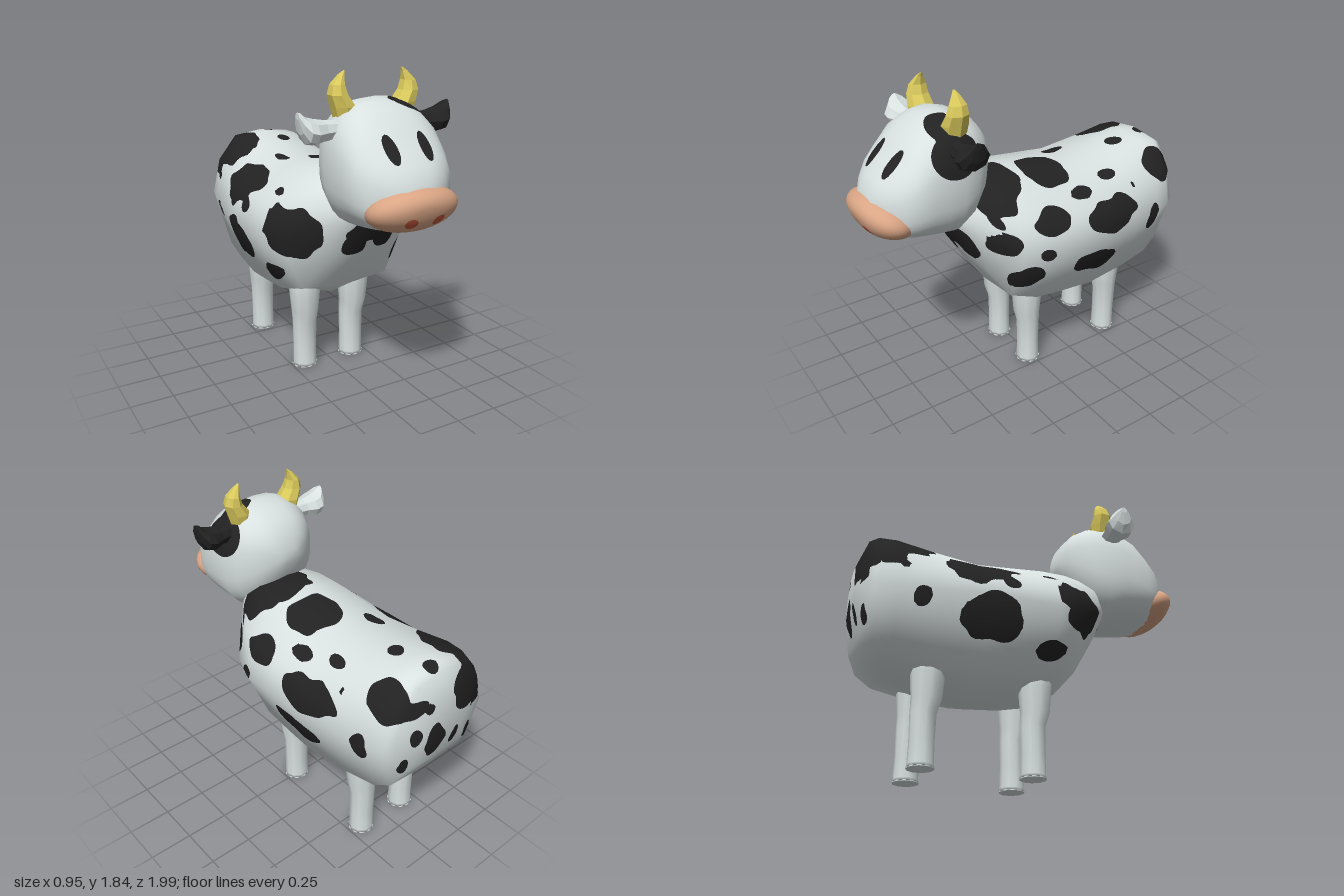
import * as THREE from 'three';

const V = (x, y, z) => new THREE.Vector3(x, y, z);
const mat = (name, color) => {
  const m = new THREE.MeshStandardMaterial({ color });
  m.name = name;
  return m;
};

// Skin a list of closed rings, cap both ends, and subdivide with interpolated smooth normals
function loft(rings, sub = 1, flat = false) {
  const mid = r => r.reduce((s, p) => s.add(p), V(0, 0, 0)).divideScalar(r.length);
  const cap = r => { const c = mid(r); return r.map(() => c.clone()); };
  const rows = [cap(rings[0]), ...rings, cap(rings[rings.length - 1])];
  const grid = (rows, normals) => {
    const n = rows[0].length, index = [];
    for (let i = 0; i < rows.length - 1; i++) for (let j = 0; j < n; j++) {
      const a = i * n + j, b = i * n + (j + 1) % n, c = a + n, d = b + n;
      index.push(a, b, d, a, d, c);
    }
    const pts = rows.flat();
    let vol = 0;
    for (let k = 0; k < index.length; k += 3) {
      vol += pts[index[k]].dot(pts[index[k + 1]].clone().cross(pts[index[k + 2]]));
    }
    if (vol < 0) index.reverse();
    const g = new THREE.BufferGeometry().setFromPoints(pts);
    g.setIndex(index);
    if (normals) g.setAttribute('normal', new THREE.Float32BufferAttribute(normals.flat().flatMap(v => v.toArray()), 3));
    else g.computeVertexNormals();
    return g;
  };
  const coarse = grid(rows);
  if (flat) {
    const g = coarse.toNonIndexed();
    g.computeVertexNormals();
    return g;
  }
  if (sub === 1) return coarse;
  const n = rows[0].length, na = coarse.attributes.normal;
  const normals = rows.map((r, i) => r.map((_, j) => V().fromBufferAttribute(na, i * n + j)));
  const refine = R => {
    const out = [];
    for (let i = 0; i <= (R.length - 1) * sub; i++) {
      const a = Math.min(Math.floor(i / sub), R.length - 2), t = i / sub - a, row = [];
      for (let j = 0; j < n * sub; j++) {
        const b = Math.floor(j / sub), c = (b + 1) % n, s = j / sub - b;
        row.push(R[a][b].clone().lerp(R[a][c], s).lerp(R[a + 1][b].clone().lerp(R[a + 1][c], s), t));
      }
      out.push(row);
    }
    return out;
  };
  return grid(refine(rows), refine(normals).map(r => r.map(v => v.normalize())));
}

// Cut a surface along field = 0: group 0 outside the marking, group 1 inside
function paint(g, field) {
  const P = g.attributes.position, N = g.attributes.normal, idx = g.index.array;
  const pos = [[], []], nor = [[], []];
  const verts = Array.from({ length: P.count }, (_, i) => {
    const p = V().fromBufferAttribute(P, i);
    return { p, n: V().fromBufferAttribute(N, i), f: field(p) };
  });
  for (let k = 0; k < idx.length; k += 3) {
    const tri = [verts[idx[k]], verts[idx[k + 1]], verts[idx[k + 2]]];
    [1, -1].forEach((sign, side) => {
      const poly = [];
      tri.forEach((a, i) => {
        const b = tri[(i + 1) % 3], inA = (a.f >= 0) === (sign > 0);
        if (inA) poly.push(a);
        if ((a.f >= 0) !== (b.f >= 0)) {
          const t = a.f / (a.f - b.f);
          poly.push({ p: a.p.clone().lerp(b.p, t), n: a.n.clone().lerp(b.n, t) });
        }
      });
      for (let i = 1; i + 1 < poly.length; i++) for (const v of [poly[0], poly[i], poly[i + 1]]) {
        pos[side].push(...v.p.toArray());
        nor[side].push(...v.n.toArray());
      }
    });
  }
  const out = new THREE.BufferGeometry();
  out.setAttribute('position', new THREE.Float32BufferAttribute(pos[0].concat(pos[1]), 3));
  out.setAttribute('normal', new THREE.Float32BufferAttribute(nor[0].concat(nor[1]), 3));
  out.addGroup(0, pos[0].length / 3, 0);
  out.addGroup(pos[0].length / 3, pos[1].length / 3, 1);
  return out;
}

// Ellipse marking in a plane; negative inside
function ellipse(u, v, [cu, cv, ru, rv, rot = 0]) {
  const c = Math.cos(rot), s = Math.sin(rot), a = u - cu, b = v - cv;
  return Math.hypot((a * c + b * s) / ru, (b * c - a * s) / rv) - 1;
}

// Coat spots by the side they lie on: centre, radii, tilt
const spots = {
  left: [[-.24, 1.135, .08, .024], [-.47, 1.175, .06, .022], [.02, 1.06, .12, .068], [.3, .97, .083, .063],
    [.09, .9, .045, .035], [-.41, .995, .19, .095], [.17, .74, .1, .075, -.4], [-.29, .72, .18, .075, .22],
    [-.76, .855, .05, .095], [-.86, 1.15, .13, .085, .5], [-.6, 1.107, .012, .012]],
  right: [[-.3, .78, .17, .13], [-.68, .85, .05, .06], [.05, .66, .11, .05, .3], [-.2, 1.0, .05, .04], [.12, 1.0, .015, .015]],
  top: [[.1, .25, .21, .17], [.115, -.1, .15, .145], [-.22, -.79, .13, .2], [-.34, -.34, .095, .21],
    [-.115, -.35, .035, .075], [-.335, .065, .02, .045], [.05, -.9, .042, .042], [.065, -.68, .04, .058, .4]],
  front: [[.13, .94, .09, .115], [-.06, .88, .075, .075], [.04, .97, .17, .085], [-.345, .94, .11, .145]],
  back: [[-.2, 1.1, .15, .13], [.06, .87, .07, .11], [-.1, .82, .03, .07], [.2, .95, .035, .06],
    [-.24, .76, .03, .06], [.25, .78, .03, .05], [.12, 1.1, .03, .03]]
};
function coat(p) {
  const wob = .07 * Math.sin(31 * p.x + 23 * p.y + 27 * p.z) + .05 * Math.sin(47 * p.y - 39 * p.z + 11 * p.x);
  const plane = {
    left: [p.z, p.y, .1 - p.x], right: [p.z, p.y, .1 + p.x], top: [p.x, p.z, .95 - p.y],
    front: [p.x, p.y, .08 - p.z], back: [p.x, p.y, p.z + .9]
  };
  let f = 1;
  for (const k in spots) for (const s of spots[k]) {
    const [u, v, gate] = plane[k];
    f = Math.min(f, Math.max(ellipse(u, v, s) + wob, gate * 10));
  }
  return f;
}

// Head markings: patch round the left ear, and two eyes
function face(p) {
  const ball = (x, y, z, a, b, c) => Math.hypot((p.x - x) / a, (p.y - y) / b, (p.z - z) / c) - 1;
  const eyes = Math.max(ellipse(Math.abs(p.x), p.y, [.1, 1.487, .035, .065]), (.6 - p.z) * 10);
  return Math.min(ball(.3, 1.56, .53, .11, .15, .155), ball(.19, 1.69, .56, .14, .1, .09), eyes);
}

export function createModel() {
  const white = mat('coat white', 0xd8e0e0), black = mat('spot black', 0x222222);
  const yellow = mat('horn yellow', 0xd9c95c), pink = mat('muzzle pink', 0xd9a585), red = mat('nostril red', 0xc0583c);
  const cow = new THREE.Group();
  cow.name = 'cow';
  const add = (name, g, m) => {
    const mesh = new THREE.Mesh(g, m);
    mesh.name = name;
    cow.add(mesh);
  };

  // Body: z, then half outline from spine to belly
  const body = [
    [.5, 0, 1.2, .08, 1.18, .14, 1.12, .15, 1.08, .1, 1.04, 0, 1.02],
    [.4, 0, 1.28, .15, 1.25, .24, 1.15, .27, 1.0, .16, .86, 0, .83],
    [.22, 0, 1.29, .2, 1.25, .36, 1.1, .42, .9, .28, .59, 0, .56],
    [.07, 0, 1.285, .2, 1.25, .4, 1.08, .475, .89, .33, .55, 0, .46],
    [-.13, 0, 1.26, .2, 1.23, .405, 1.07, .476, .89, .334, .53, 0, .417],
    [-.33, 0, 1.23, .2, 1.21, .4, 1.07, .476, .89, .334, .515, 0, .4],
    [-.6, 0, 1.26, .2, 1.24, .36, 1.1, .425, .89, .31, .53, 0, .45],
    [-.8, 0, 1.3, .2, 1.27, .335, 1.12, .385, .89, .29, .56, 0, .53],
    [-.9, 0, 1.295, .19, 1.27, .31, 1.12, .36, .9, .27, .62, 0, .6],
    [-.95, 0, 1.265, .18, 1.24, .28, 1.1, .33, .92, .24, .72, 0, .7],
    [-.995, 0, 1.15, .1, 1.13, .16, 1.03, .17, .95, .12, .88, 0, .86]
  ].map(([z, ...h]) => {
    const half = [0, 1, 2, 3, 4, 5].map(i => V(h[2 * i], h[2 * i + 1], z));
    return [...half, ...half.slice(1, 5).reverse().map(p => V(-p.x, p.y, z))];
  });
  add('body', paint(loft(body, 10), coat), [white, black]);

  // Head: z, top, bottom, half width
  const head = [
    [.245, 1.46, 1.38, .06], [.27, 1.556, 1.3, .14], [.33, 1.63, 1.18, .22], [.41, 1.677, 1.075, .275],
    [.5, 1.7, 1.02, .298], [.59, 1.685, 1.03, .303], [.68, 1.635, 1.045, .3], [.76, 1.545, 1.06, .285],
    [.83, 1.475, 1.075, .25], [.89, 1.41, 1.1, .18], [.935, 1.335, 1.15, .1]
  ].map(([z, t, b, w]) => Array.from({ length: 28 }, (_, i) => {
    const a = i / 28 * Math.PI * 2, c = Math.cos(a), s = Math.sin(a), e = v => Math.sign(v) * Math.abs(v) ** .8;
    return V(w * e(c), (t + b) / 2 + (t - b) / 2 * e(s), z);
  }));
  add('head', paint(loft(head, 4), face), [white, black]);

  // Muzzle with nostrils: flattened dome leaning forward at the top
  const muzzle = [];
  for (let i = 1; i < 14; i++) {
    const a = (i / 14 - .5) * Math.PI, z = Math.sin(a);
    muzzle.push(Array.from({ length: 28 }, (_, j) => {
      const t = j / 28 * Math.PI * 2, r = Math.cos(a) ** .8, y = .125 * r * Math.sin(t);
      return V(.257 * r * Math.cos(t), 1.195 + y, .85 + .14 * z + .35 * y);
    }));
  }
  const nostrils = p => Math.max(ellipse(Math.abs(p.x), p.y, [.08, 1.155, .036, .028, .3]), (.85 - p.z) * 10);
  add('muzzle', paint(loft(muzzle, 3), nostrils), [pink, red]);

  // Horizontal ring (horns, legs) and sideways ring (ears)
  const flatRing = (n, x, y, z, rx, rz) => Array.from({ length: n }, (_, i) => {
    const a = i / n * Math.PI * 2;
    return V(x + rx * Math.cos(a), y, z + rz * Math.sin(a));
  });
  const sideRing = (x, y, ry, rz) => Array.from({ length: 8 }, (_, i) => {
    const a = i / 8 * Math.PI * 2;
    return V(x, y + ry * Math.sin(a), .515 + rz * Math.cos(a));
  });

  for (const [s, side] of [[1, 'left'], [-1, 'right']]) {
    add(side + 'Horn', loft([[.17, 1.6, .49, .06, .065], [.18, 1.66, .49, .068, .073], [.212, 1.72, .49, .053, .062],
      [.213, 1.77, .485, .036, .05], [.19, 1.815, .483, .016, .022], [.173, 1.835, .483, .004, .006]]
      .map(([x, ...r]) => flatRing(7, s * x, ...r)), 1, true), yellow);
    add(side + 'Ear', loft([[.24, 1.55, .05, .055], [.31, 1.55, .055, .065], [.37, 1.55, .066, .09],
      [.41, 1.56, .068, .088], [.437, 1.595, .055, .055], [.452, 1.635, .018, .02]]
      .map(([x, ...r]) => sideRing(s * x, ...r)), 1, true), s > 0 ? black : white);

    // Legs with a knee bulge and flared foot
    for (const [end, z, lean] of [['Front', .02, .012], ['Hind', -.59, .012]]) {
      const legs = [[.02, .073, .069], [.14, .073, .066], [.29, .075, .07], [.37, .083, .082], [.5, .096, .092], [.64, .1, .098]]
        .map(([y, rx, rz]) => flatRing(10, s * (.163 + (y > .3 ? .004 : 0)), y, z + (y > .3 ? lean : 0), rx, rz));
      add(side + end + 'Leg', loft([flatRing(10, s * .163, .003, z, .078, .073), ...legs]), white);
      const sole = new THREE.CylinderGeometry(.078, .078, .006, 10);
      sole.scale(1, 1, .94).translate(s * .163, .003, z);
      add(side + end + 'Sole', sole, white);
    }
  }
  return cow;
}
